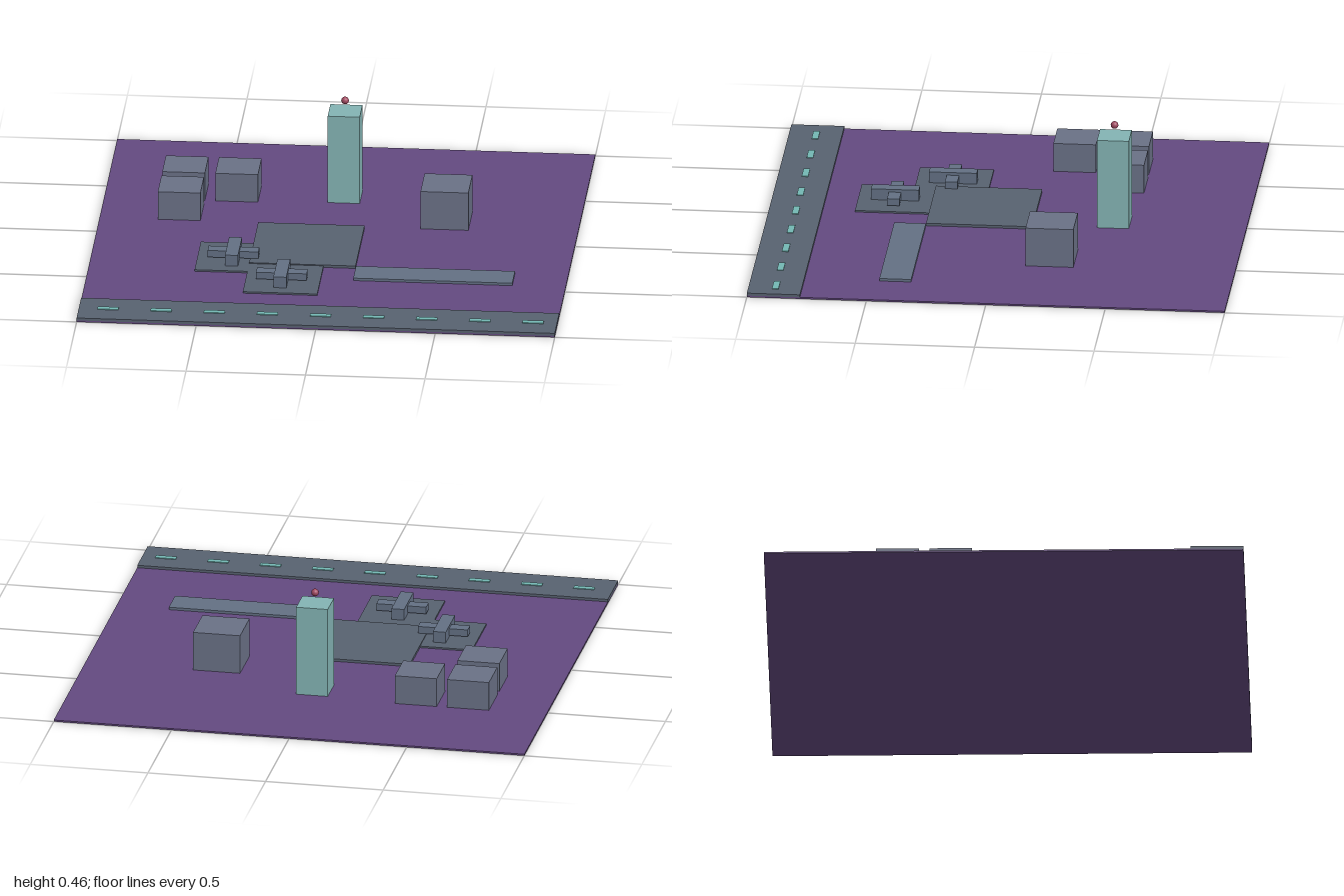
import * as THREE from 'three';

const material = (color) => new THREE.MeshStandardMaterial({ color });

const purple = material(0x644a80);
const pavement = material(0x586270);
const wall = material(0x6a7186);
const metal = material(0x637084);
const teal = material(0x84b4b4);
const paint = material(0x74b8b4);
const red = material(0xa04860);

// Box given by its footprint and its bottom and top heights
function block(name, mat, [x0, x1], [y0, y1], [z0, z1]) {
  const mesh = new THREE.Mesh(new THREE.BoxGeometry(x1 - x0, y1 - y0, z1 - z0), mat);
  mesh.position.set((x0 + x1) / 2, (y0 + y1) / 2, (z0 + z1) / 2);
  mesh.name = name;
  return mesh;
}

// Parked aircraft: fuselage along z crossed by a wing
function aircraft(name, x, z) {
  const group = new THREE.Group();
  group.name = name;
  group.add(
    block('fuselage', metal, [-0.027, 0.027], [0.014, 0.062], [-0.1, 0.1]),
    block('wing', metal, [-0.106, 0.106], [0.02, 0.05], [-0.026, 0.026]),
  );
  group.position.set(x, 0, z);
  return group;
}

export function createModel() {
  const model = new THREE.Group();
  model.name = 'airfield';

  // Ground
  model.add(block('ground', purple, [-1, 1], [0, 0.007], [-1, 1]));

  // Runway with dashed centre line
  model.add(block('runway', pavement, [-1, 1], [0.004, 0.018], [0.778, 1]));
  for (let i = 0; i < 9; i++) {
    const x = -0.878 + i * 0.2222;
    model.add(block('runwayDash', paint, [x - 0.044, x + 0.044], [0.017, 0.021], [0.873, 0.9]));
  }

  // Apron and the two aircraft pads
  model.add(
    block('apron', pavement, [-0.335, 0.11], [0.004, 0.018], [-0.112, 0.333]),
    block('leftPad', pavement, [-0.556, -0.245], [0.004, 0.014], [0.111, 0.42]),
    block('frontPad', pavement, [-0.335, -0.024], [0.004, 0.014], [0.333, 0.643]),
    block('taxiStrip', metal, [0.112, 0.777], [0.004, 0.018], [0.333, 0.466]),
  );

  // Aircraft
  model.add(aircraft('leftAircraft', -0.406, 0.266), aircraft('frontAircraft', -0.185, 0.488));

  // Small hangars
  for (const [x, z] of [[-0.668, -0.447], [-0.446, -0.447], [-0.668, -0.225]]) {
    model.add(block('hangar', wall, [x - 0.089, x + 0.089], [0.004, 0.131], [z - 0.089, z + 0.089]));
  }

  // Large building
  model.add(block('terminal', wall, [0.343, 0.543], [0.004, 0.175], [-0.324, -0.124]));

  // Control tower with beacon
  model.add(block('controlTower', teal, [-0.067, 0.067], [0.004, 0.396], [-0.512, -0.379]));
  const beacon = new THREE.Mesh(new THREE.SphereGeometry(0.016, 16, 12), red);
  beacon.position.set(0, 0.442, -0.446);
  beacon.name = 'beacon';
  model.add(beacon);

  return model;
}
